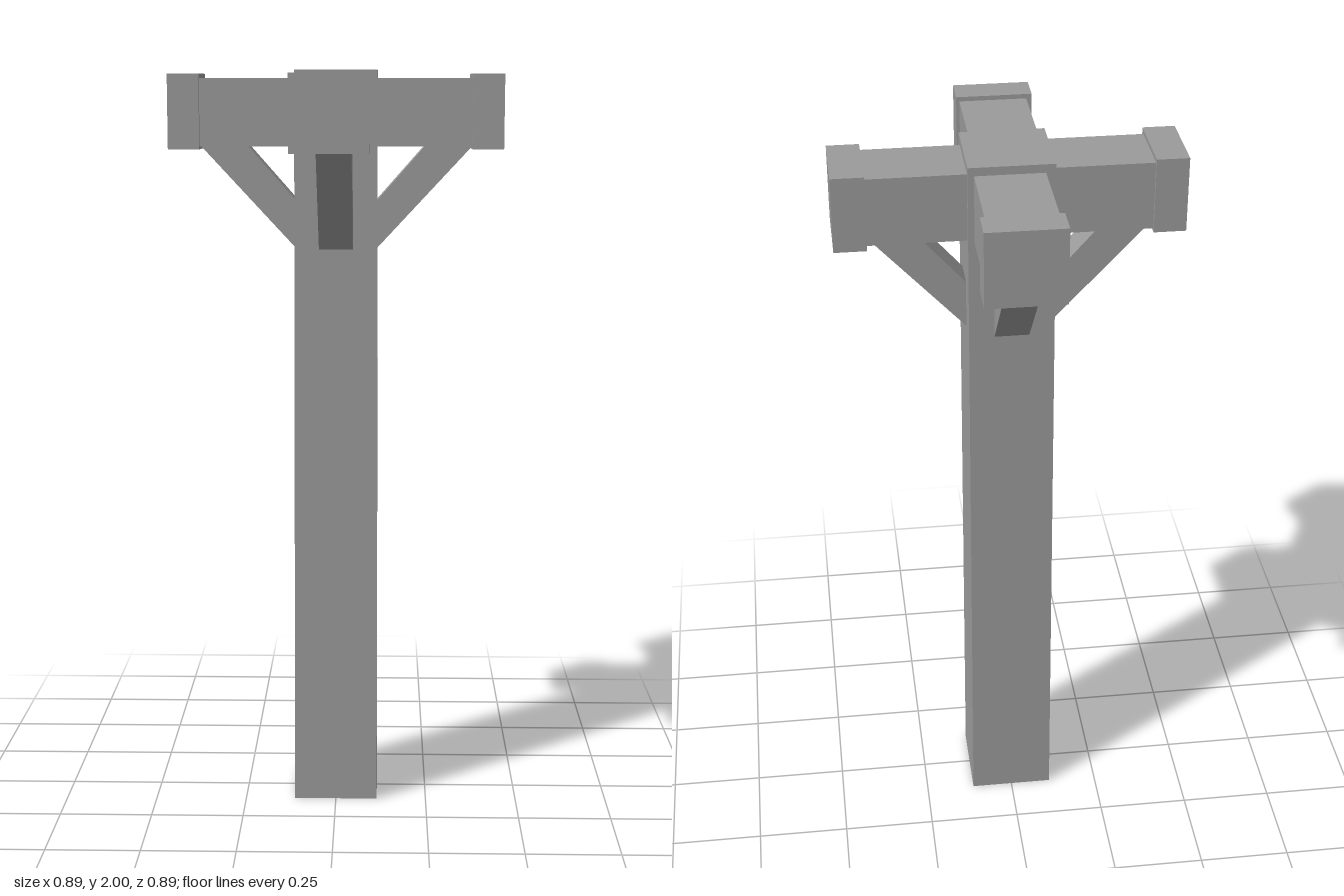
import * as THREE from 'three';

const material = new THREE.MeshStandardMaterial({ color: 0x9b9b9b, flatShading: true });

function addMesh(parent, name, geometry, x = 0, y = 0, z = 0) {
  const mesh = new THREE.Mesh(geometry, material);
  mesh.name = name;
  mesh.position.set(x, y, z);
  parent.add(mesh);
}

// Box given by its x and y ranges and its depth in z
function addBlock(parent, name, [x0, x1], [y0, y1], depth, z) {
  const geometry = new THREE.BoxGeometry(x1 - x0, y1 - y0, depth);
  addMesh(parent, name, geometry, (x0 + x1) / 2, (y0 + y1) / 2, z);
}

// One arm pointing along +x: beam, end cap and diagonal brace
function createArm(offset) {
  const arm = new THREE.Group();
  addBlock(arm, 'beam', [0.1, 0.37], [1.8, 1.978], 0.177, offset * 0.7);
  addBlock(arm, 'endCap', [0.36, 0.443], [1.793, 1.99], 0.2, offset);

  const profile = new THREE.Shape([
    new THREE.Vector2(0.1, 1.52),
    new THREE.Vector2(0.37, 1.81),
    new THREE.Vector2(0.244, 1.81),
    new THREE.Vector2(0.1, 1.647),
  ]);
  const braceWidth = 0.09;
  const brace = new THREE.ExtrudeGeometry(profile, { depth: braceWidth, bevelEnabled: false });
  addMesh(arm, 'brace', brace, 0, 0, -braceWidth / 2);
  return arm;
}

export function createModel() {
  const model = new THREE.Group();
  model.name = 'timberPost';

  // Square post, slightly narrower at the top
  const post = new THREE.CylinderGeometry(0.109 * Math.SQRT2, 0.114 * Math.SQRT2, 2, 4);
  post.rotateY(Math.PI / 4);
  addMesh(model, 'post', post, 0, 1, 0);

  // Four arms, each set a little off the centre line
  const arms = [
    ['leftArm', -0.01],
    ['backArm', 0.007],
    ['rightArm', -0.007],
    ['frontArm', 0.01],
  ];
  arms.forEach(([name, offset], i) => {
    const arm = createArm(offset);
    arm.name = name;
    arm.rotation.y = (i * Math.PI) / 2;
    model.add(arm);
  });

  return model;
}
